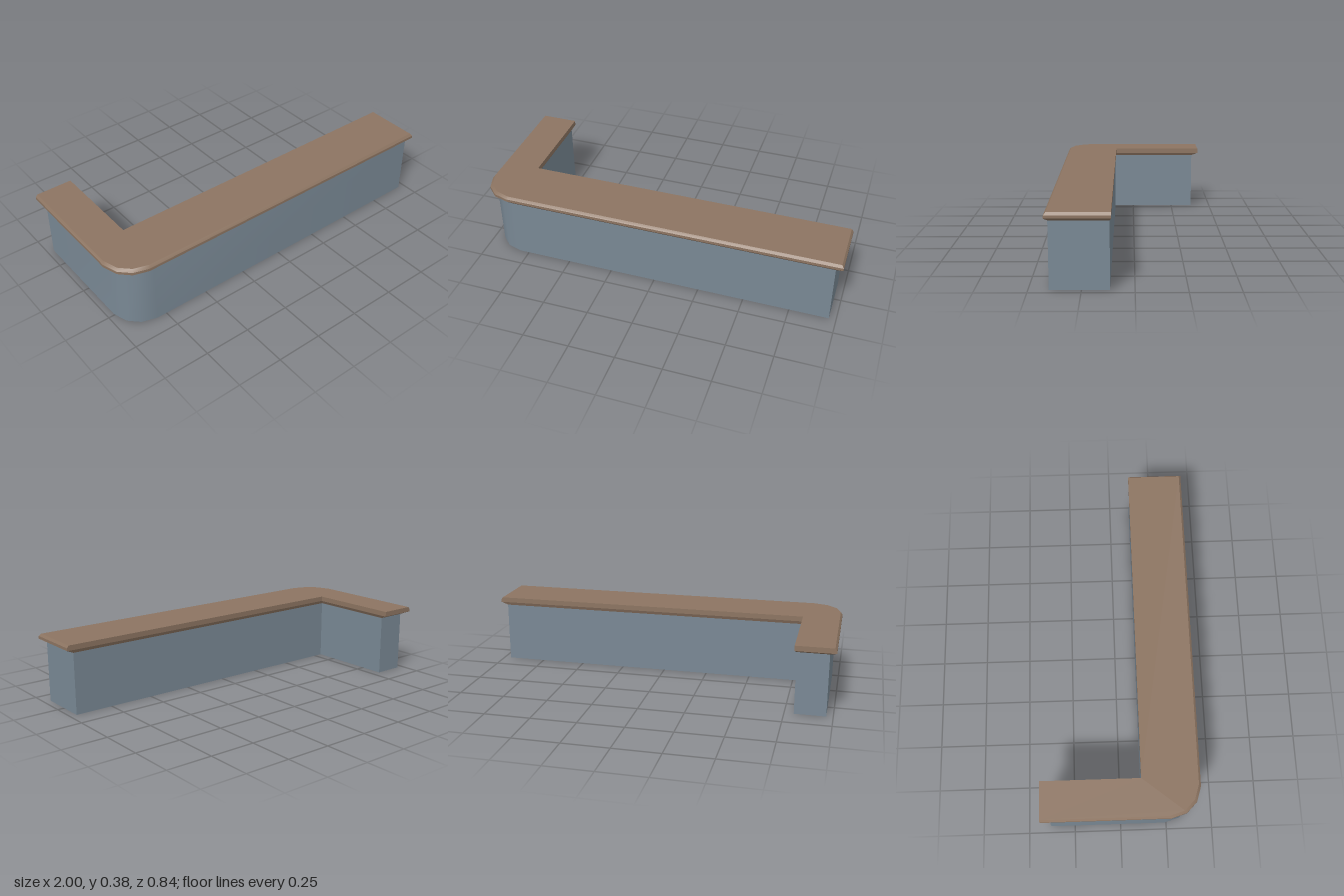
import * as THREE from 'three';
import { mergeGeometries, toCreasedNormals } from 'three/addons/utils/BufferGeometryUtils.js';

// L-shaped plan as [x, z] points, with a faceted outer corner at front left
function plan(left, right, front, back, innerX, innerZ) {
  return [
    [right, front], [right, innerZ], [innerX, innerZ], [innerX, back], [left, back],
    [left, front - 0.16], [left + 0.025, front - 0.08], [left + 0.08, front - 0.025], [left + 0.16, front],
  ];
}

// Wall strip joining two plans at different heights
function band(lower, y0, upper, y1) {
  const pos = [];
  lower.forEach((a, i) => {
    const j = (i + 1) % lower.length;
    const [b, c, d] = [lower[j], upper[j], upper[i]];
    pos.push(a[0], y0, a[1], b[0], y0, b[1], c[0], y1, c[1]);
    pos.push(a[0], y0, a[1], c[0], y1, c[1], d[0], y1, d[1]);
  });
  const geo = new THREE.BufferGeometry();
  geo.setAttribute('position', new THREE.Float32BufferAttribute(pos, 3));
  return toCreasedNormals(geo, 0.6);
}

// Flat cap facing up (sign 1) or down (sign -1)
function cap(points, y, sign) {
  const shape = new THREE.Shape(points.map(([x, z]) => new THREE.Vector2(x, -sign * z)));
  const geo = new THREE.ShapeGeometry(shape).toNonIndexed();
  geo.deleteAttribute('uv');
  return geo.rotateX(-sign * Math.PI / 2).translate(0, y, 0);
}

export function createModel() {
  const group = new THREE.Group();
  const paint = new THREE.MeshStandardMaterial({ name: 'blue grey paint', color: 0x798894 });
  const wood = new THREE.MeshStandardMaterial({ name: 'brown wood', color: 0x8c7461 });

  // Counter body
  const body = plan(-0.965, 0.962, 0.402, -0.38, -0.8, 0.117);
  const base = new THREE.Mesh(mergeGeometries([
    cap(body, 0, -1),
    band(body, 0, body, 0.335),
    cap(body, 0.335, 1),
  ]), paint);
  base.name = 'counterBase';

  // Worktop: flared underside, upright rim, chamfer on the outer edges only
  const rim = plan(-1, 1, 0.418, -0.418, -0.79, 0.11);
  const top = plan(-0.99, 0.99, 0.407, -0.418, -0.79, 0.11);
  const worktop = new THREE.Mesh(mergeGeometries([
    band(body, 0.335, rim, 0.352),
    band(rim, 0.352, rim, 0.367),
    band(rim, 0.367, top, 0.38),
    cap(top, 0.38, 1),
  ]), wood);
  worktop.name = 'worktop';

  group.add(base, worktop);
  return group;
}
